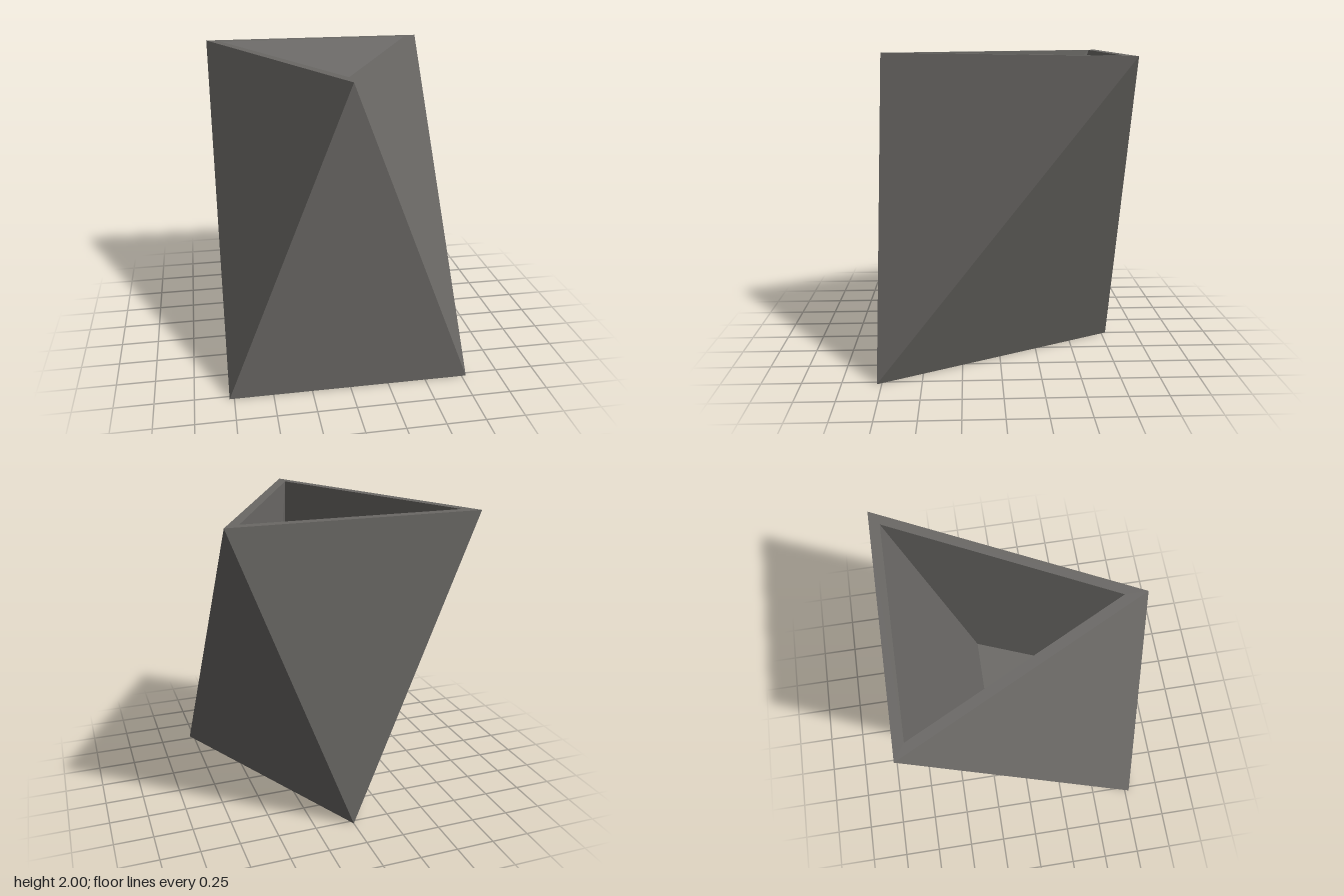
import * as THREE from 'three';

// Flat-shaded mesh from triangles given as corner points
function facets(name, triangles, material) {
  const geometry = new THREE.BufferGeometry();
  geometry.setAttribute('position', new THREE.Float32BufferAttribute(triangles.flat(2), 3));
  geometry.computeVertexNormals();
  const mesh = new THREE.Mesh(geometry, material);
  mesh.name = name;
  return mesh;
}

// Triangle with a straight edge at edgeZ and its point at tipZ
const triangle = (half, y, edgeZ, tipZ) => [[-half, y, edgeZ], [0, y, tipZ], [half, y, edgeZ]];

export function createModel() {
  const group = new THREE.Group();
  group.name = 'planter';
  const stone = new THREE.MeshStandardMaterial({ color: 0x6a6865 });
  stone.name = 'warm grey stone';

  const top = triangle(0.78, 2, -0.78, 0.78);
  const opening = triangle(0.68, 2, -0.715, 0.64);
  const floor = triangle(0.375, 0.65, -0.23, 0.72);
  // Base triangle points the opposite way to the top one
  const base = [[-0.78, 0, 0.78], [0.78, 0, 0.78], [0, 0, -0.78]];

  const shell = [], rim = [], cavity = [];
  for (let i = 0; i < 3; i++) {
    const j = (i + 1) % 3;
    // Alternating down- and up-pointing outer faces
    shell.push([top[i], base[i], top[j]], [top[j], base[i], base[j]]);
    // Flat rim and tapering inner walls
    rim.push([top[i], top[j], opening[j]], [top[i], opening[j], opening[i]]);
    cavity.push([opening[i], opening[j], floor[j]], [opening[i], floor[j], floor[i]]);
  }

  group.add(
    facets('outerShell', shell, stone),
    facets('rim', rim, stone),
    facets('innerWalls', cavity, stone),
    facets('innerFloor', [floor], stone),
    facets('underside', [[base[2], base[1], base[0]]], stone)
  );
  return group;
}
